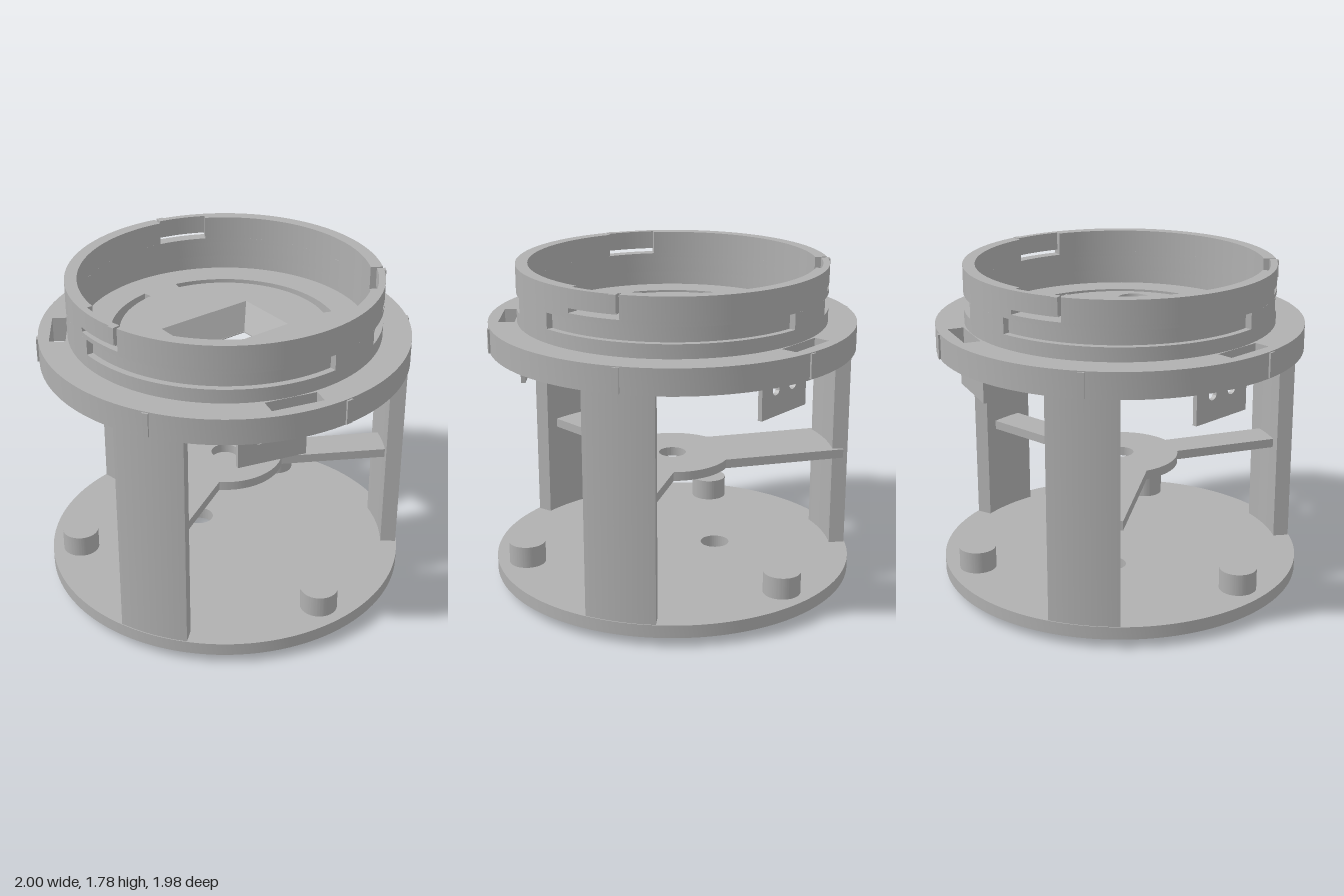
import * as THREE from 'three';
import { toCreasedNormals } from 'three/addons/utils/BufferGeometryUtils.js';

const rad = THREE.MathUtils.degToRad;
const grey = new THREE.MeshStandardMaterial({ color: 0xb0b0b0, side: THREE.DoubleSide });
grey.name = 'plain grey';

// plan shapes: shape x is world x, shape y is world z, angles in degrees
function sector(r0, r1, a0, a1) {
  const s = new THREE.Shape();
  s.absarc(0, 0, r1, rad(a0), rad(a1), false);
  s.absarc(0, 0, r0, rad(a1), rad(a0), true);
  s.closePath();
  return s;
}
function circle(x, z, r) {
  const s = new THREE.Shape();
  s.absarc(x, z, r, 0, Math.PI * 2, false);
  return s;
}
function polygon(points) {
  return new THREE.Shape(points.map(([x, z]) => new THREE.Vector2(x, z)));
}
function holed(shape, ...holes) {
  shape.holes.push(...holes);
  return shape;
}
const ring = (r0, r1) => holed(circle(0, 0, r1), circle(0, 0, r0));

// point from distance along a direction and sideways offset
function polar(deg, n, t) {
  const c = Math.cos(rad(deg)), s = Math.sin(rad(deg));
  return [n * c - t * s, n * s + t * c];
}

export function createModel() {
  const model = new THREE.Group();
  model.name = 'cylindricalFrame';

  function add(name, geometry, parent = model) {
    const mesh = new THREE.Mesh(geometry, grey);
    mesh.name = name;
    parent.add(mesh);
    return mesh;
  }
  // flat plan shape raised between two heights
  function slab(name, shape, y0, y1, parent) {
    const g = new THREE.ExtrudeGeometry(shape, { depth: y1 - y0, bevelEnabled: false, curveSegments: 72 });
    g.rotateX(Math.PI / 2).translate(0, y1, 0);
    return add(name, toCreasedNormals(g, 0.5), parent);
  }
  function group(name) {
    const g = new THREE.Group();
    g.name = name;
    model.add(g);
    return g;
  }

  // base disc with its foot ring and pegs
  const pegs = [0, 120, 240].map(a => polar(a, 0.83, 0));
  slab('baseDisc', holed(circle(0, 0, 0.99), circle(-0.25, 0, 0.08),
    ...pegs.map(([x, z]) => circle(x, z, 0.04))), 0.05, 0.12);
  slab('footRing', sector(0.65, 0.695, -150, 150), 0, 0.05);
  for (const [x, z] of pegs) slab('peg', circle(x, z, 0.1), 0.12, 0.24);

  // three curved legs
  for (const a of [60, 180, 300]) slab('leg', sector(0.9, 0.985, a - 11, a + 11), 0.12, 1.33);

  // three-armed brace with a central hole
  const hubR = 0.32;
  const arms = [[60, 0.094, 0.91], [180, 0.195, 0.94], [300, 0.094, 0.91]];
  const brace = new THREE.Shape();
  arms.forEach(([a, w, len], i) => {
    const [nextA, nextW] = arms[(i + 1) % 3];
    const start = polar(a, Math.sqrt(hubR * hubR - w * w), -w);
    if (i === 0) brace.moveTo(...start);
    brace.lineTo(...polar(a, len, -w));
    brace.lineTo(...polar(a, len, w));
    brace.absarc(0, 0, hubR, rad(a) + Math.asin(w / hubR),
      rad(nextA + (i === 2 ? 360 : 0)) - Math.asin(nextW / hubR), false);
  });
  slab('brace', holed(brace, circle(0, 0, 0.075)), 0.64, 0.69);

  // upper deck with arc slots, pockets, tapered window and countersunk hole
  const rect = (x, z) => polygon([[-x, -z], [x, -z], [x, z], [-x, z]]);
  const pocketAngles = [15, 125, 235];
  const pocket = a => polygon([[0.838, -0.14], [0.925, -0.14], [0.925, 0.14], [0.838, 0.14]]
    .map(([n, t]) => polar(a, n, t)));
  slab('upperDeck', holed(circle(0, 0, 0.99),
    ...[0, 120, 240].map(a => sector(0.56, 0.607, a - 50, a + 50)),
    ...pocketAngles.map(pocket), rect(0.18, 0.285), circle(0.42, 0, 0.09)), 1.33, 1.47);

  const taper = new THREE.CylinderGeometry(1, 1, 0.14, 4, 1, true).rotateY(Math.PI / 4);
  const p = taper.attributes.position;
  for (let i = 0; i < p.count; i++) {
    const top = p.getY(i) > 0;
    p.setX(i, Math.sign(p.getX(i)) * (top ? 0.18 : 0.1));
    p.setZ(i, Math.sign(p.getZ(i)) * (top ? 0.285 : 0.21));
  }
  add('windowTaper', toCreasedNormals(taper, 0.3)).position.y = 1.4;
  slab('windowLip', holed(rect(0.18, 0.285), rect(0.1, 0.21)), 1.33, 1.335);
  add('countersink', new THREE.CylinderGeometry(0.09, 0.065, 0.14, 40, 1, true)).position.set(0.42, 1.4, 0);
  slab('countersinkLip', holed(circle(0.42, 0, 0.09), circle(0.42, 0, 0.065)), 1.33, 1.335);

  // small ribs on the deck rim
  for (let a = 0; a < 360; a += 60) slab('rimRib', sector(0.98, 1, a - 1, a + 1), 1.335, 1.465);

  // hanging plates with two rounded slots, one beside each pocket
  for (const a of pocketAngles) {
    const s = polygon([[-0.1, 1.12], [0.27, 1.12], [0.27, 1.335], [-0.1, 1.335]]);
    for (const t of [0.015, 0.155]) {
      const slot = new THREE.Path();
      slot.absarc(t, 1.258, 0.028, Math.PI, Math.PI * 2, false);
      slot.absarc(t, 1.3, 0.028, 0, Math.PI, false);
      s.holes.push(slot);
    }
    const g = new THREE.ExtrudeGeometry(s, { depth: 0.025, bevelEnabled: false, curveSegments: 12 });
    g.rotateY(-Math.PI / 2).translate(0.82, 0, 0).rotateY(-rad(a));
    add('hangingPlate', toCreasedNormals(g, 0.5));
  }

  // neck ring with outer grooves split by three bridges
  const neck = group('neck');
  const inner = 0.77, outer = 0.835, thin = 0.8;
  slab('neckFoot', ring(inner, outer), 1.47, 1.545, neck);
  slab('grooveWall', ring(inner, thin), 1.545, 1.63, neck);
  for (const a of [-15, 105, 225]) slab('grooveBridge', sector(thin, outer, a - 12, a + 12), 1.545, 1.63, neck);
  slab('neckBand', ring(inner, outer), 1.63, 1.655, neck);

  // neck top: full wall between thin snap tabs
  const tabs = [76, 189, 302];
  tabs.forEach((a, i) => {
    const next = i < 2 ? tabs[i + 1] : tabs[0] + 360;
    slab('neckWall', sector(inner, outer, a + 20, next), 1.655, 1.78, neck);
    slab('snapTab', sector(thin, outer, a + 1, a + 20), 1.68, 1.78, neck);
    slab('snapBump', sector(outer - 0.005, 0.845, a + 1, a + 3.5), 1.69, 1.78, neck);
  });

  return model;
}
